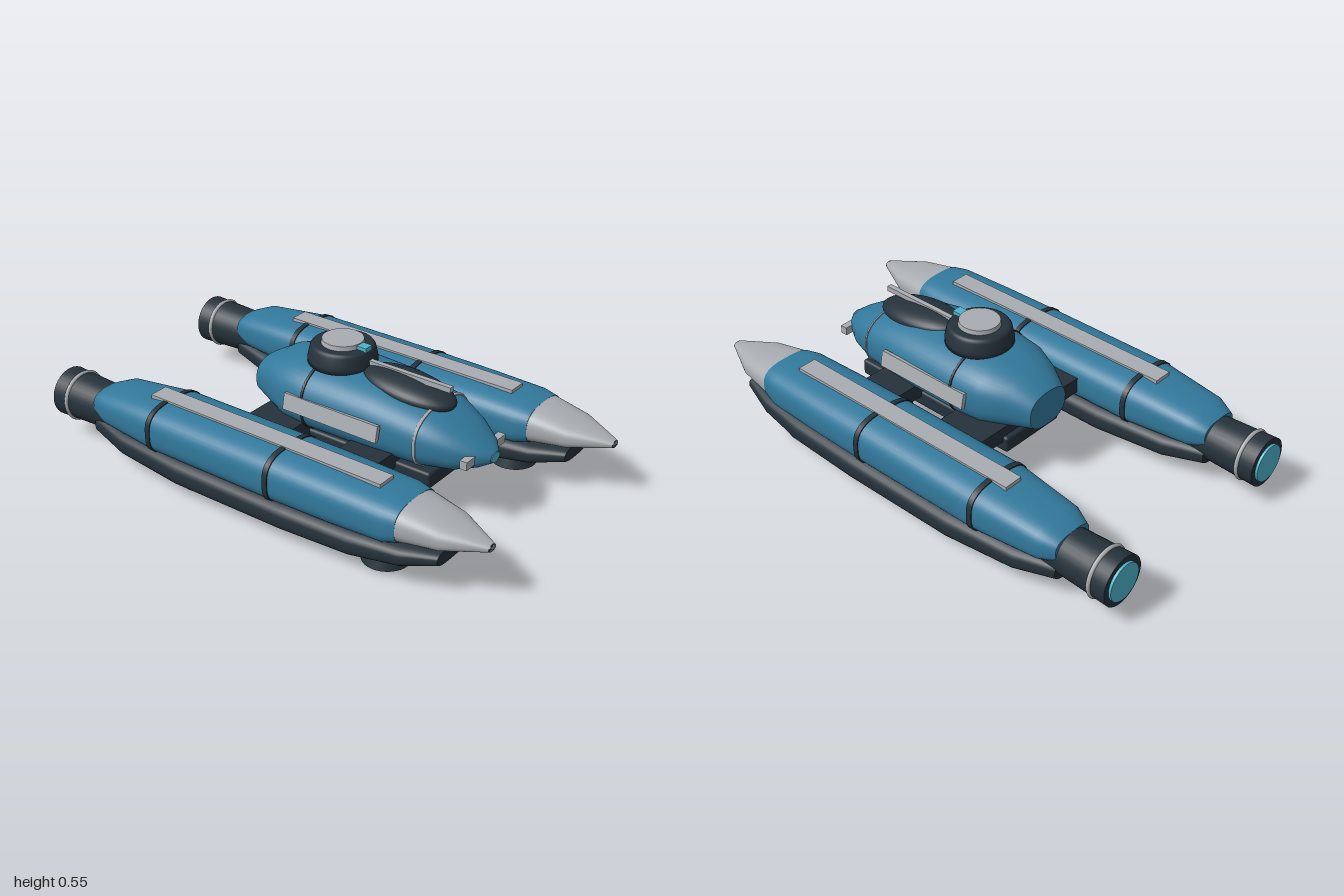
import * as THREE from 'three';
import { RoundedBoxGeometry } from 'three/addons/geometries/RoundedBoxGeometry.js';

const mat = (name, color) => new THREE.MeshStandardMaterial({ name, color });

// Cross-section rows: [z, half width, half height, centre y], front to back
const HULL = [
  [0.69, 0.125, 0.074, 0.232], [0.63, 0.14, 0.088, 0.228], [0.4, 0.146, 0.095, 0.226],
  [0.145, 0.148, 0.099, 0.225], [-0.425, 0.148, 0.098, 0.225], [-0.7, 0.12, 0.075, 0.22], [-0.77, 0.09, 0.05, 0.215],
];
const NOSE = [[1.0, 0.02, 0.012, 0.227], [0.84, 0.1, 0.05, 0.229], [0.69, 0.125, 0.074, 0.232]];
const KEEL = [
  [0.84, 0.085, 0.028, 0.147], [0.7, 0.125, 0.046, 0.121], [0.5, 0.148, 0.06, 0.105], [0.2, 0.153, 0.064, 0.096],
  [-0.3, 0.153, 0.064, 0.096], [-0.6, 0.13, 0.055, 0.107], [-0.77, 0.09, 0.042, 0.127],
];
const POD = [
  [0.74, 0.03, 0.02, 0.28], [0.7, 0.08, 0.045, 0.285], [0.62, 0.132, 0.083, 0.295], [0.5, 0.178, 0.116, 0.315],
  [0.3, 0.2, 0.135, 0.33], [0.015, 0.209, 0.14, 0.335], [-0.1, 0.196, 0.132, 0.332], [-0.2, 0.15, 0.11, 0.33],
  [-0.29, 0.1, 0.075, 0.312],
];

// Skin of superellipse cross-sections with flat end caps
function loft(rows, power, sides = 40) {
  const pos = [], idx = [];
  const ring = ([z, w, h, y]) => {
    for (let i = 0; i < sides; i++) {
      const a = (i / sides) * Math.PI * 2, c = Math.cos(a), s = Math.sin(a);
      pos.push(Math.sign(c) * Math.abs(c) ** (2 / power) * w, y + Math.sign(s) * Math.abs(s) ** (2 / power) * h, z);
    }
  };
  rows.forEach(ring);
  for (let r = 0; r < rows.length - 1; r++) {
    for (let i = 0; i < sides; i++) {
      const j = (i + 1) % sides, a = r * sides, b = a + sides;
      idx.push(a + i, b + i, a + j, a + j, b + i, b + j);
    }
  }
  [rows[0], rows[rows.length - 1]].forEach((row, end) => {
    const base = pos.length / 3;
    ring(row);
    pos.push(0, row[3], row[0]);
    for (let i = 0; i < sides; i++) {
      const j = (i + 1) % sides;
      idx.push(base + sides, base + (end ? j : i), base + (end ? i : j));
    }
  });
  const g = new THREE.BufferGeometry();
  g.setAttribute('position', new THREE.Float32BufferAttribute(pos, 3));
  g.setIndex(idx);
  g.computeVertexNormals();
  return g;
}

// Thin belt that follows a loft at a given z
function belt(rows, z, width, power, grow = 0.004) {
  const at = (q) => {
    const k = rows.findIndex((r, i) => i > 0 && r[0] <= q);
    const a = rows[k - 1], b = rows[k], t = (q - a[0]) / (b[0] - a[0]);
    return [q, ...[1, 2, 3].map((n) => a[n] + (b[n] - a[n]) * t + (n < 3 ? grow : 0))];
  };
  return loft([at(z + width / 2), at(z - width / 2)], power);
}

export function createModel() {
  const blue = mat('hull blue', 0x32799c), dark = mat('dark slate', 0x25313a);
  const grey = mat('light grey', 0xa9adb1), cyan = mat('glow cyan', 0x4db4cc);

  const add = (parent, name, geometry, material, x = 0, y = 0, z = 0) => {
    const m = new THREE.Mesh(geometry, material);
    m.name = name;
    m.position.set(x, y, z);
    parent.add(m);
    return m;
  };
  const box = (w, h, d) => new THREE.BoxGeometry(w, h, d);
  const disc = (top, bottom, h) => new THREE.CylinderGeometry(top, bottom, h, 32);
  const axial = (front, back, h) => disc(front, back, h).rotateX(Math.PI / 2);
  const model = new THREE.Group();
  model.name = 'catamaranCraft';

  // Twin pontoons
  for (const side of [-1, 1]) {
    const p = new THREE.Group();
    p.name = side > 0 ? 'leftPontoon' : 'rightPontoon';
    p.position.x = side * 0.43;
    model.add(p);
    add(p, 'pontoonHull', loft(HULL, 2.9), blue);
    add(p, 'noseCone', loft(NOSE, 2.6), grey);
    add(p, 'noseTip', loft([[1.0, 0.0205, 0.0125, 0.227], [0.996, 0.0225, 0.0135, 0.227]], 2.2), dark);
    add(p, 'keel', loft(KEEL, 2.9), dark);
    for (const z of [0.145, -0.425]) add(p, 'hullBand', belt(HULL, z, 0.022, 2.9), dark);
    add(p, 'deckStrip', box(0.08, 0.017, 1.07), grey, 0, 0.322, 0.035);

    // Engine
    add(p, 'engine', axial(0.088, 0.1, 0.29), dark, 0, 0.175, -0.845);
    add(p, 'engineRing', new THREE.TorusGeometry(0.096, 0.009, 8, 36), grey, 0, 0.175, -0.92);
    add(p, 'engineGlow', axial(0.076, 0.076, 0.02), cyan, 0, 0.175, -0.99);

    // Lift pads
    for (const z of [0.575, -0.28]) {
      add(p, 'liftPad', disc(0.076, 0.092, 0.05), dark, 0, 0.04, z);
      add(p, 'liftGlow', disc(0.066, 0.066, 0.018), cyan, 0, 0.009, z);
    }
  }

  // Bridge between the pontoons
  add(model, 'rearBeam', box(0.66, 0.066, 0.21), dark, 0, 0.222, -0.095);
  add(model, 'frontBeam', box(0.66, 0.066, 0.18), dark, 0, 0.222, 0.32);
  add(model, 'bellyBox', new RoundedBoxGeometry(0.3, 0.068, 0.78, 3, 0.012), dark, 0, 0.178, 0.17);

  // Central pod
  add(model, 'pod', loft(POD, 2.5, 48), blue);
  add(model, 'frontPodBand', belt(POD, 0.505, 0.01, 2.5), grey);
  add(model, 'middlePodBand', belt(POD, 0.018, 0.01, 2.5), dark);
  add(model, 'noseLight', axial(0.026, 0.026, 0.006).scale(1.1, 0.75, 1), cyan, 0, 0.28, 0.74);
  for (const side of [-1, 1]) {
    const plate = add(model, 'sidePlate', box(0.018, 0.065, 0.43), grey, side * 0.211, 0.34, 0.157);
    plate.rotation.z = side * 0.2;
    add(model, 'headlight', box(0.056, 0.034, 0.03), grey, side * 0.102, 0.286, 0.687);
  }

  // Canopy
  const canopy = add(model, 'canopy', new THREE.SphereGeometry(1, 36, 20).scale(0.104, 0.048, 0.2), dark, 0, 0.443, 0.362);
  canopy.rotation.x = 0.1;

  // Turret
  const profile = [[0, 0.46], [0.134, 0.46], [0.134, 0.482], [0.125, 0.523], [0.118, 0.533], [0.108, 0.536], [0, 0.536]];
  const turret = new THREE.LatheGeometry(profile.map(([r, y]) => new THREE.Vector2(r, y)), 40);
  add(model, 'turretBase', turret, dark, 0, 0, 0.056);
  add(model, 'turretCap', disc(0.08, 0.084, 0.022), grey, 0, 0.543, 0.056);
  add(model, 'turretSight', box(0.04, 0.018, 0.045), cyan, 0, 0.541, 0.154);
  add(model, 'barrel', box(0.021, 0.021, 0.37), grey, 0, 0.49, 0.36);
  return model;
}
